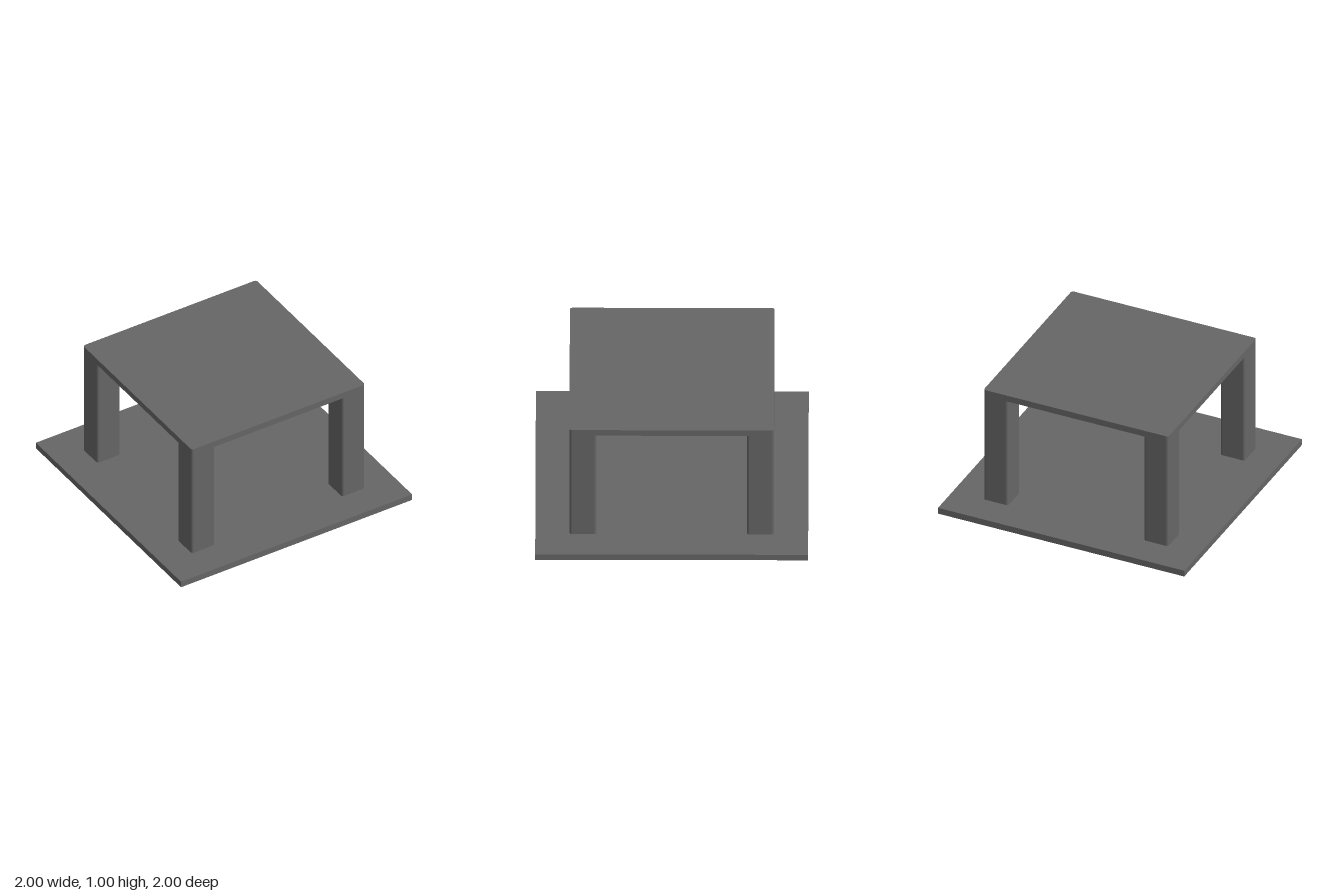
import * as THREE from 'three';

const material = new THREE.MeshStandardMaterial({ color: 0x666666 });

// Upright square prism with rounded vertical edges, base at y = 0
function roundedPrism(size, height, r) {
  const h = size / 2, c = h - r;
  const s = new THREE.Shape();
  s.moveTo(h, -c);
  s.absarc(c, c, r, 0, Math.PI / 2);
  s.absarc(-c, c, r, Math.PI / 2, Math.PI);
  s.absarc(-c, -c, r, Math.PI, Math.PI * 1.5);
  s.absarc(c, -c, r, Math.PI * 1.5, Math.PI * 2);
  const geometry = new THREE.ExtrudeGeometry(s, { depth: height, bevelEnabled: false, curveSegments: 4 });
  return geometry.rotateX(-Math.PI / 2);
}

export function createModel() {
  const group = new THREE.Group();
  const add = (name, geometry, x, y, z) => {
    const mesh = new THREE.Mesh(geometry, material);
    mesh.name = name;
    mesh.position.set(x, y, z);
    group.add(mesh);
  };

  const plate = 0.05, radius = 0.02, topSize = 1.5, legSize = 0.2;

  // Square ground slab
  add('base', new THREE.BoxGeometry(2, plate, 2), 0, plate / 2, 0);

  // Table top with rounded corners
  add('tableTop', roundedPrism(topSize, plate, radius), 0, 1 - plate, 0);

  // Four legs flush with the corners of the top
  const leg = roundedPrism(legSize, 1 - 2 * plate, radius);
  const offset = (topSize - legSize) / 2;
  for (const [zName, z] of [['front', offset], ['back', -offset]])
    for (const [xName, x] of [['Left', offset], ['Right', -offset]])
      add(`${zName}${xName}Leg`, leg, x, plate, z);

  return group;
}
